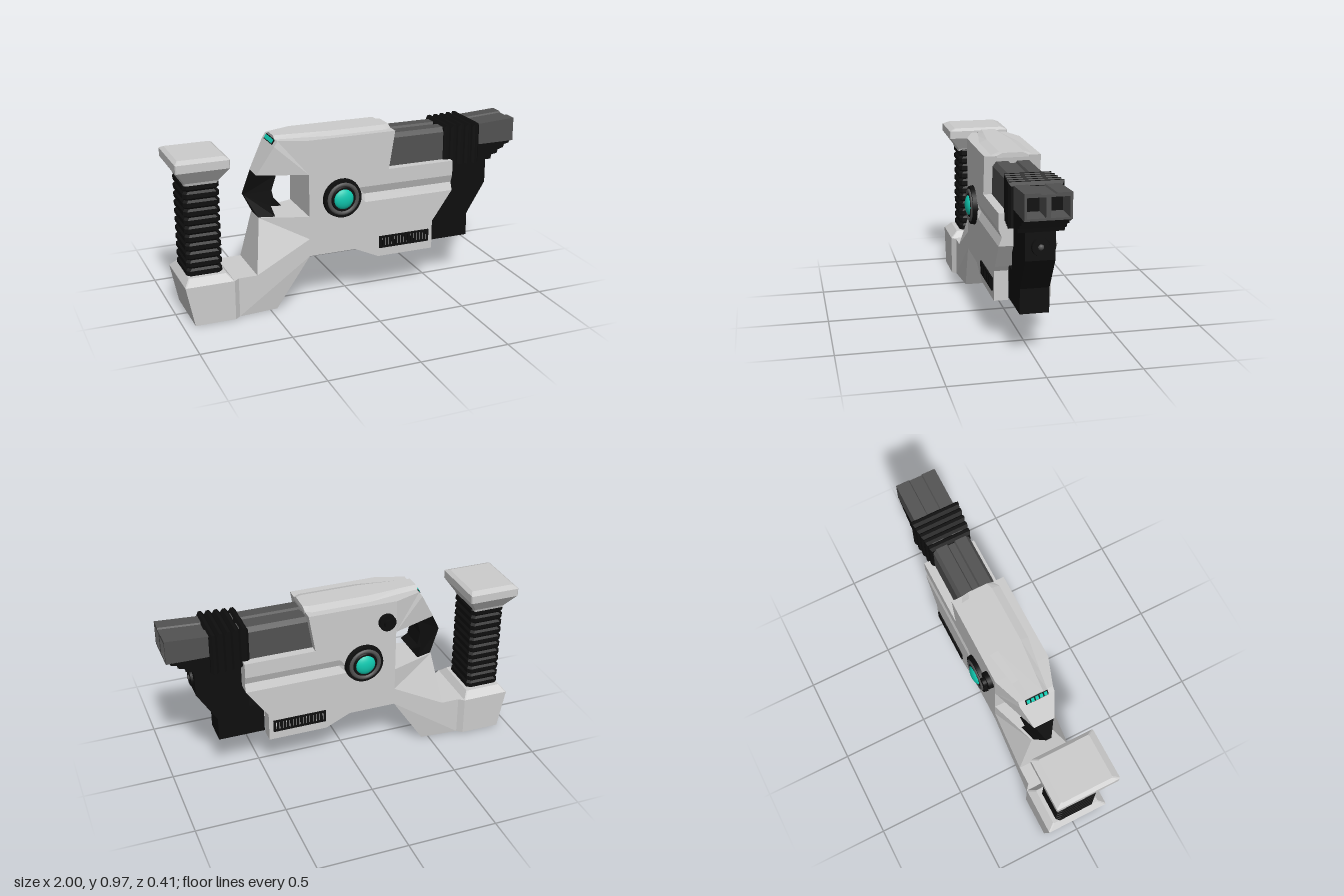
import * as THREE from 'three';

const flat = (name, color) => {
  const m = new THREE.MeshStandardMaterial({ color });
  m.name = name;
  return m;
};

// Skin matching loops, listed in rising order along an axis, and cap both ends
function loft(rings, axis) {
  const [u, v] = { x: ['y', 'z'], y: ['z', 'x'], z: ['x', 'y'] }[axis];
  const project = (r) => r.map((p) => new THREE.Vector2(p[u], p[v]));
  if (THREE.ShapeUtils.area(project(rings[0])) < 0) rings = rings.map((r) => [...r].reverse());
  const out = [];
  const tri = (...ps) => ps.forEach((p) => out.push(p.x, p.y, p.z));
  const n = rings[0].length;
  for (let i = 0; i + 1 < rings.length; i++) {
    for (let j = 0; j < n; j++) {
      const k = (j + 1) % n, a = rings[i], b = rings[i + 1];
      tri(a[j], a[k], b[k]);
      tri(a[j], b[k], b[j]);
    }
  }
  const first = rings[0], last = rings[rings.length - 1];
  for (const [a, b, c] of THREE.ShapeUtils.triangulateShape(project(first), [])) tri(first[c], first[b], first[a]);
  for (const [a, b, c] of THREE.ShapeUtils.triangulateShape(project(last), [])) tri(last[a], last[b], last[c]);
  const g = new THREE.BufferGeometry();
  g.setAttribute('position', new THREE.Float32BufferAttribute(out, 3));
  g.computeVertexNormals();
  return g;
}

const V = (x, y, z) => new THREE.Vector3(x, y, z);

// Side outline [x, y, optional half width], mirrored across z = 0
const slab = (pts, hw) => loft([-1, 1].map((s) => pts.map(([x, y, w = hw]) => V(x, y, s * w))), 'z');
// Side outline between two depths
const plate = (pts, z0, z1) => loft([z0, z1].map((z) => pts.map(([x, y]) => V(x, y, z))), 'z');
// Rectangle with cut corners lying flat at height y
const rectY = (y, cx, hx, hz, c) => [
  [hx, hz - c], [hx - c, hz], [c - hx, hz], [-hx, hz - c],
  [-hx, c - hz], [c - hx, -hz], [hx - c, -hz], [hx, c - hz],
].map(([x, z]) => V(cx + x, y, z));
// Upright rectangle at x
const rectX = (x, y0, y1, hz) => [V(x, y0, -hz), V(x, y1, -hz), V(x, y1, hz), V(x, y0, hz)];

export function createModel() {
  const shell = flat('light grey shell', 0xcccccc);
  const steel = flat('dark grey metal', 0x525252);
  const black = flat('black', 0x0e0e0e);
  const teal = flat('teal glow', 0x10c9b0);
  const model = new THREE.Group();
  model.name = 'sciFiBlaster';
  const add = (name, geo, mat, x = 0, y = 0, z = 0) => {
    const m = new THREE.Mesh(geo, mat);
    m.name = name;
    m.position.set(x, y, z);
    model.add(m);
    return m;
  };

  // Main body with a step cut along each side for the groove
  add('body', slab([
    [-0.27, 0.29], [0, 0.29], [0.1, 0.42], [0.497, 0.42], [0.595, 0.56], [0.02, 0.56],
    [0.02, 0.65], [0.595, 0.65], [0.595, 0.735], [0.2, 0.735], [0.235, 0.95], [-0.27, 0.95],
  ], 0.155), shell);
  const grooveRing = (x, d) => [[0.56, 0.155], [0.605, d], [0.65, 0.155], [0.65, -0.155], [0.605, -d], [0.56, -0.155]]
    .map(([y, z]) => V(x, y, z));
  add('sideGroove', loft([grooveRing(0.02, 0.155), grooveRing(0.06, 0.138), grooveRing(0.595, 0.138)], 'x'), shell);

  // Lower cheeks on both sides of the open channel
  const cheek = [[0, 0.29], [0.14, 0.225], [0.475, 0.225], [0.475, 0.39], [0.497, 0.42], [0.1, 0.42]];
  add('leftCheek', plate(cheek, 0.078, 0.155), shell);
  add('rightCheek', plate(cheek, -0.155, -0.078), shell);
  add('channelRoof', slab([[0.09, 0.4], [0.5, 0.4], [0.5, 0.43], [0.1, 0.43]], 0.079), black);

  // Tapered rear of the body and raised top cover
  add('bodyRear', slab([
    [-0.27, 0.76, 0.155], [-0.27, 0.95, 0.155], [-0.425, 0.95, 0.1],
    [-0.445, 0.92, 0.1], [-0.535, 0.76, 0.06],
  ]), shell);
  const cover = [[-0.43, 0.065], [-0.32, 0.08], [-0.13, 0.112], [0.2, 0.112], [0.235, 0.09]];
  const coverRing = (y, k) => [...cover, ...cover.map(([x, z]) => [x, -z]).reverse()].map(([x, z]) => V(x, y, z * k));
  add('topCover', loft([coverRing(0.94, 1), coverRing(0.95, 1), coverRing(0.966, 0.6)], 'y'), shell);

  // Row of lights at the rear
  const tilt = -0.59;
  add('lightPanel', new THREE.BoxGeometry(0.008, 0.032, 0.13), black, -0.436, 0.936).rotation.z = tilt;
  for (let i = -2; i <= 2; i++) {
    add('rearLight', new THREE.BoxGeometry(0.009, 0.022, 0.017), teal, -0.439, 0.938, i * 0.025).rotation.z = tilt;
  }

  // Neck running down to the base
  add('neckTop', slab([[-0.27, 0.39, 0.155], [-0.27, 0.52, 0.155], [-0.53, 0.52, 0.065], [-0.575, 0.225, 0.155]]), shell);
  add('neck', slab([
    [-0.27, 0.29, 0.155], [-0.27, 0.39, 0.155], [-0.575, 0.225, 0.155],
    [-0.68, 0.225, 0.155], [-0.68, 0, 0.155], [-0.46, 0, 0.137],
  ]), shell);
  add('rearBrace', slab([
    [-0.535, 0.76, 0.055], [-0.43, 0.76, 0.08], [-0.455, 0.67, 0.07], [-0.44, 0.6, 0.07], [-0.4, 0.575, 0.07],
    [-0.46, 0.58, 0.07], [-0.44, 0.52, 0.08], [-0.53, 0.52, 0.055], [-0.597, 0.645, 0.015],
  ]), black);

  // Base, ribbed handle and pommel
  add('base', slab([[-0.98, 0.225], [-0.935, 0], [-0.71, 0], [-0.71, 0.225]], 0.18), shell);
  add('baseStep', slab([[-0.71, 0, 0.18], [-0.71, 0.225, 0.18], [-0.68, 0.225, 0.155], [-0.68, 0, 0.155]]), shell);
  add('basePlate', loft([rectY(0.225, -0.845, 0.135, 0.18, 0.006), rectY(0.262, -0.845, 0.105, 0.14, 0.006)], 'y'), shell);
  const gripRings = [];
  for (let i = 0; i < 11; i++) {
    const y = 0.255 + i * 0.048;
    gripRings.push(rectY(y, -0.853, 0.088, 0.107, 0.018), rectY(y + 0.012, -0.853, 0.099, 0.118, 0.018),
      rectY(y + 0.036, -0.853, 0.099, 0.118, 0.018));
  }
  gripRings.push(rectY(0.785, -0.853, 0.088, 0.107, 0.018));
  add('grip', loft(gripRings, 'y'), black);
  add('pommel', loft([
    rectY(0.77, -0.855, 0.09, 0.12, 0.006), rectY(0.785, -0.855, 0.095, 0.125, 0.006),
    rectY(0.86, -0.855, 0.145, 0.18, 0.006), rectY(0.905, -0.855, 0.145, 0.18, 0.006),
    rectY(0.92, -0.855, 0.125, 0.145, 0.006),
  ], 'y'), shell);

  // Barrel with a shallow channel on top
  const barrelRing = (x) => [
    [0.73, 0.108], [0.895, 0.108], [0.92, 0.09], [0.92, 0.025], [0.908, 0.018],
    [0.908, -0.018], [0.92, -0.025], [0.92, -0.09], [0.895, -0.108], [0.73, -0.108],
  ].map(([y, z]) => V(x, y, z));
  add('barrel', loft([barrelRing(0.19), barrelRing(0.6)], 'x'), steel);

  // Ribbed collar
  const collar = [];
  for (let i = 0; i < 5; i++) {
    const x = 0.555 + i * 0.043, w = 0.114 + i * 0.005;
    collar.push(rectX(x, 0.705, 0.916, w), rectX(x + 0.014, 0.7, 0.934, w + 0.008), rectX(x + 0.03, 0.7, 0.934, w + 0.008));
  }
  collar.push(rectX(0.77, 0.705, 0.916, 0.13));
  add('collar', loft(collar, 'x'), black);

  // Twin-bore muzzle
  const face = new THREE.Shape([
    [-0.118, 0.8], [0.118, 0.8], [0.118, 0.934], [0.042, 0.934], [0.036, 0.926],
    [-0.036, 0.926], [-0.042, 0.934], [-0.118, 0.934],
  ].map((p) => new THREE.Vector2(...p)));
  for (const s of [-1, 1]) {
    face.holes.push(new THREE.Path([[0.012, 0.812], [0.105, 0.812], [0.105, 0.914], [0.012, 0.914]]
      .map(([z, y]) => new THREE.Vector2(s * z, y))));
  }
  const muzzleGeo = new THREE.ExtrudeGeometry(face, { depth: 0.24, bevelEnabled: false });
  muzzleGeo.rotateY(Math.PI / 2);
  const mp = muzzleGeo.attributes.position;
  for (let i = 0; i < mp.count; i++) {
    if (mp.getX(i) < 0.1 && mp.getY(i) > 0.92) mp.setY(i, mp.getY(i) - 0.014);
  }
  muzzleGeo.computeVertexNormals();
  add('muzzle', muzzleGeo, steel, 0.76);
  add('boreEnd', new THREE.BoxGeometry(0.02, 0.108, 0.216), black, 0.86, 0.863);

  // Front block with stepped underside beneath the muzzle
  add('frontBlock', slab([
    [0.478, 0.24], [0.74, 0.24], [0.74, 0.375], [0.85, 0.555], [0.85, 0.75], [0.56, 0.75], [0.56, 0.42], [0.478, 0.42],
  ], 0.077), black);
  add('muzzleSupport', slab([
    [0.57, 0.8], [0.57, 0.705], [0.86, 0.705], [0.865, 0.73], [0.9, 0.735], [0.905, 0.755],
    [0.94, 0.765], [0.945, 0.782], [0.975, 0.788], [0.98, 0.802],
  ], 0.118), black);
  add('frontKnob', new THREE.CylinderGeometry(0.045, 0.05, 0.02, 16), black, 0.853, 0.627).rotation.z = -Math.PI / 2;
  add('frontBead', new THREE.SphereGeometry(0.016, 16, 12), steel, 0.858, 0.627);

  // Dials and vents on both sides
  for (const s of [-1, 1]) {
    const dial = (name, r0, r1, depth, mat, z) => {
      add(name, new THREE.CylinderGeometry(r1, r0, depth, 32), mat, -0.08, 0.605, s * z).rotation.x = s * Math.PI / 2;
    };
    dial('dialRim', 0.113, 0.107, 0.03, black, 0.163);
    add('dialRing', new THREE.TorusGeometry(0.082, 0.012, 8, 32), steel, -0.08, 0.605, s * 0.176);
    dial('dialSeat', 0.074, 0.066, 0.012, black, 0.179);
    const lens = add('dialLens', new THREE.SphereGeometry(0.06, 32, 20), teal, -0.08, 0.605, s * 0.175);
    lens.scale.z = 0.5;

    for (const y of [0.28, 0.34]) add('ventRail', new THREE.BoxGeometry(0.305, 0.01, 0.012), black, 0.298, y, s * 0.157);
    for (let i = 0; i <= 15; i++) {
      add('ventBar', new THREE.BoxGeometry(0.0135, 0.06, 0.012), black, 0.1525 + i * 0.0194, 0.31, s * 0.157);
    }
  }

  // Knob on the far side
  add('sideKnob', new THREE.CylinderGeometry(0.048, 0.048, 0.03, 24), black, -0.21, 0.838, -0.166).rotation.x = Math.PI / 2;
  add('sideKnobTip', new THREE.CylinderGeometry(0.025, 0.025, 0.03, 20), black, -0.21, 0.838, -0.186).rotation.x = Math.PI / 2;

  return model;
}
